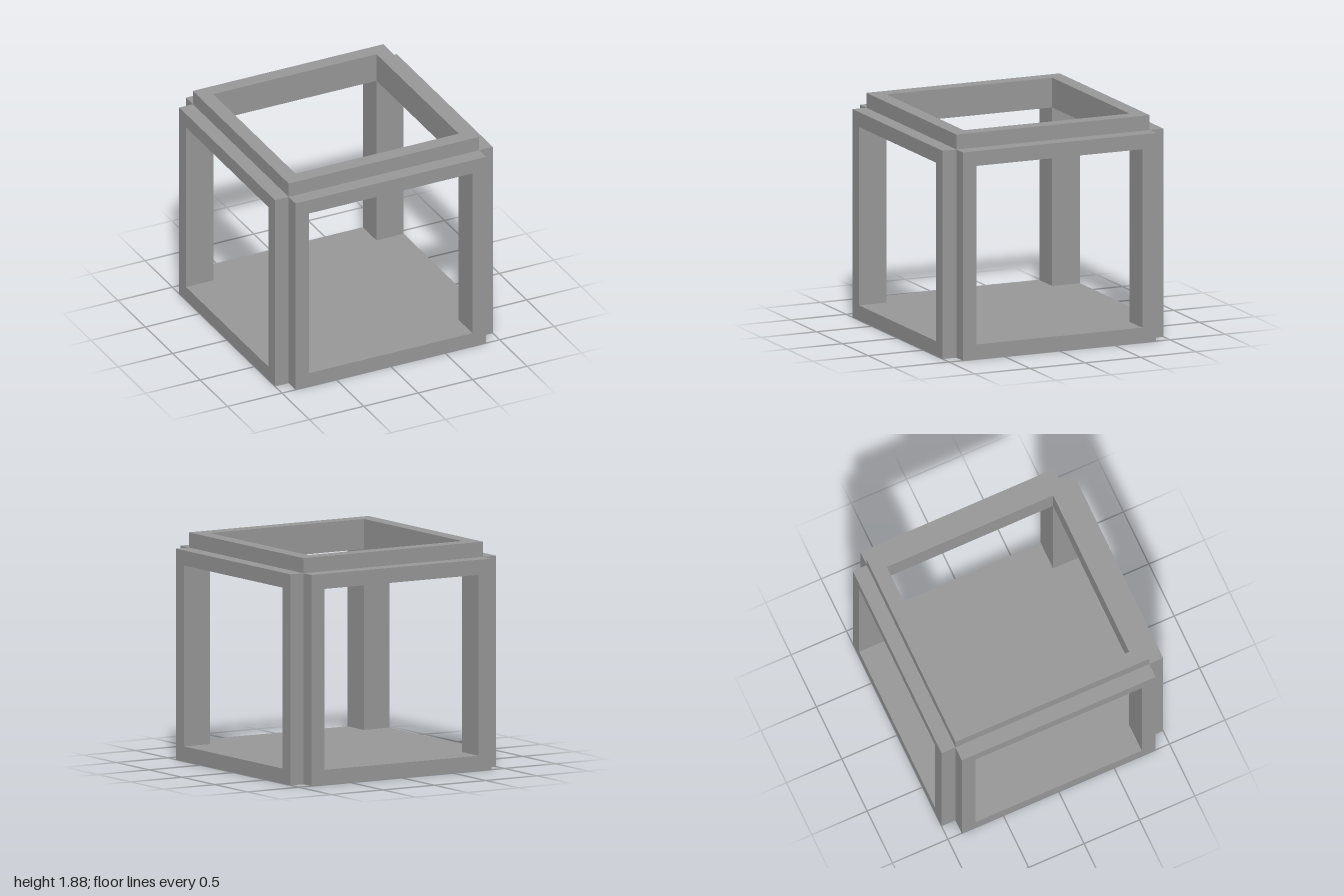
import * as THREE from 'three';

const OUTER = 1, STEP = 0.875, INNER = 0.75;

const shapeOf = (pts) => new THREE.Shape(pts.map(([x, y]) => new THREE.Vector2(x, y)));

const squarePoints = (h) => [[-h, -h], [h, -h], [h, h], [-h, h]];

// Square plan with a small square notch cut from each corner
const notchedPlan = () => shapeOf([
  [-STEP, -OUTER], [STEP, -OUTER], [STEP, -STEP], [OUTER, -STEP],
  [OUTER, STEP], [STEP, STEP], [STEP, OUTER], [-STEP, OUTER],
  [-STEP, STEP], [-OUTER, STEP], [-OUTER, -STEP], [-STEP, -STEP],
]);

// Cuts the square opening out of a plan
function withOpening(plan) {
  plan.holes.push(new THREE.Path(squarePoints(INNER).map(([x, y]) => new THREE.Vector2(x, y))));
  return plan;
}

export function createModel() {
  const model = new THREE.Group();
  model.name = 'cubeFrame';
  const grey = new THREE.MeshStandardMaterial({ color: 0x999999 });
  grey.name = 'grey';

  // Raises a plan shape between two heights
  function addPart(name, plan, y0, y1) {
    const geometry = new THREE.ExtrudeGeometry(plan, { depth: y1 - y0, bevelEnabled: false });
    geometry.rotateX(-Math.PI / 2);
    const mesh = new THREE.Mesh(geometry, grey);
    mesh.name = name;
    mesh.position.y = y0;
    model.add(mesh);
    return mesh;
  }

  // Solid floor
  addPart('floor', notchedPlan(), 0, 0.125);

  // Four corner posts, each with a notched outer corner
  const postPlan = shapeOf([
    [INNER, INNER], [OUTER, INNER], [OUTER, STEP],
    [STEP, STEP], [STEP, OUTER], [INNER, OUTER],
  ]);
  for (let i = 0; i < 4; i++) {
    addPart(`cornerPost${i + 1}`, postPlan, 0.125, 1.625).rotation.y = i * Math.PI / 2;
  }

  // Upper rails and the raised square frame on top
  addPart('upperRails', withOpening(notchedPlan()), 1.625, 1.75);
  addPart('topFrame', withOpening(shapeOf(squarePoints(STEP))), 1.75, 1.875);

  return model;
}
